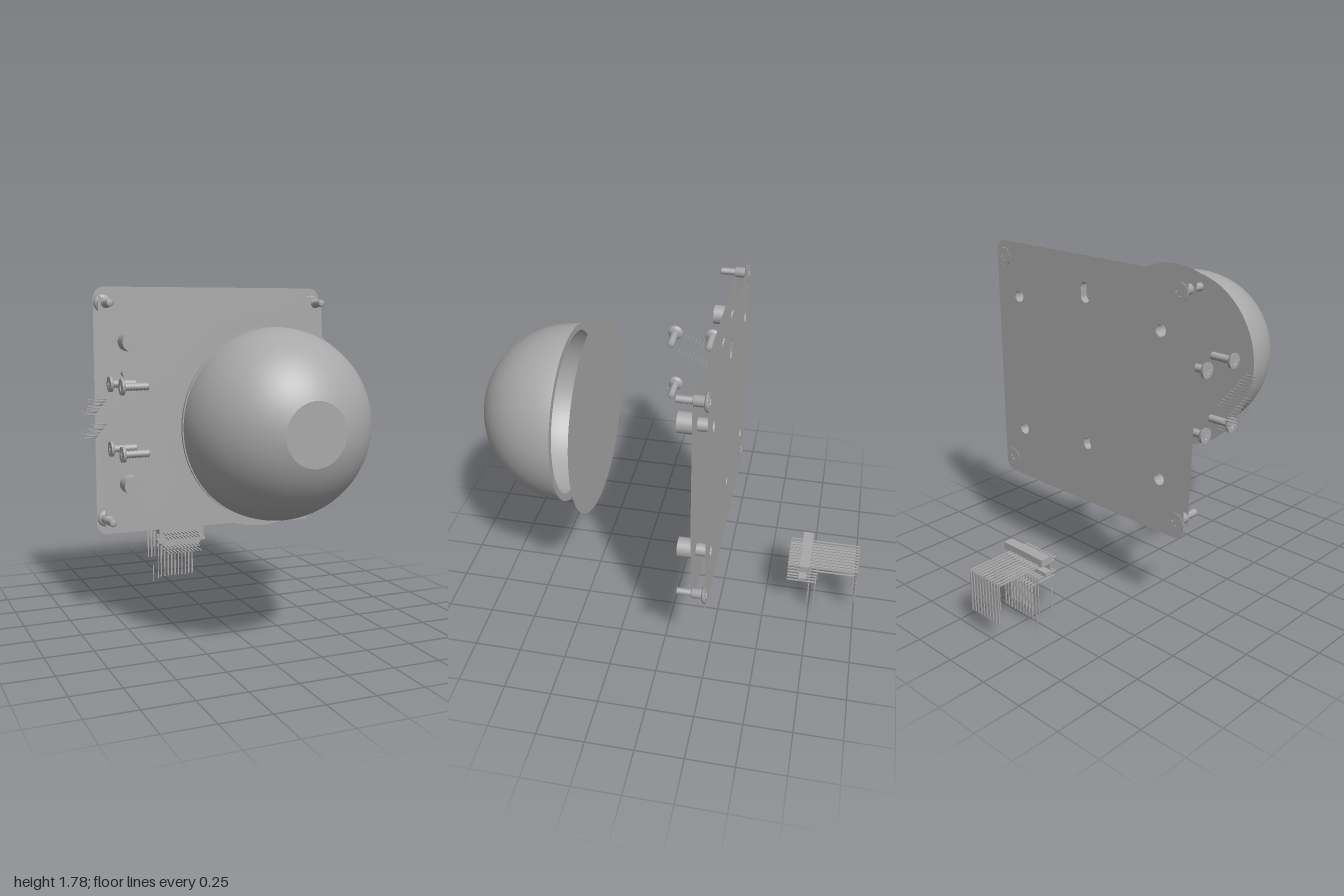
import * as THREE from 'three';

const CX = 0.07, CY = 1.125;

export function createModel() {
  const root = new THREE.Group();
  const grey = new THREE.MeshStandardMaterial({ color: 0xa8a8a8, side: THREE.DoubleSide });
  grey.name = 'plainGrey';

  const add = (name, geometry, x = 0, y = 0, z = 0, parent = root) => {
    const mesh = new THREE.Mesh(geometry, grey);
    mesh.name = name;
    mesh.position.set(x, y, z);
    parent.add(mesh);
    return mesh;
  };
  // Revolve a profile of [radius, z] around the z axis
  const turned = (profile, segments = 32) =>
    new THREE.LatheGeometry(profile.map(([r, z]) => new THREE.Vector2(r, z)), segments).rotateX(Math.PI / 2);
  const polygon = (pts) => new THREE.Shape(pts.map(([x, y]) => new THREE.Vector2(x, y)));
  const circle = (x, y, r) => new THREE.Path().absarc(x, y, r, 0, Math.PI * 2, true);
  const slotPath = (x, y, r, half) => {
    const p = new THREE.Path();
    p.absarc(x, y + half, r, 0, Math.PI, false);
    p.absarc(x, y - half, r, Math.PI, Math.PI * 2, false);
    p.closePath();
    return p;
  };

  const standoffs = [[-0.43, 1.5], [0.57, 1.5], [-0.43, 0.745], [0.57, 0.745]];
  const corners = [[-0.54, 1.7], [0.68, 1.7], [-0.54, 0.55], [0.68, 0.55]];
  const slots = [[CX, 1.6, 0.03, 0.022], [CX, 0.795, 0.027, 0.004]];

  // Rounded back sheet with its holes
  const [l, r, b, t, c] = [-0.59, 0.735, 0.46, 1.785, 0.06];
  const back = new THREE.Shape();
  back.absarc(r - c, t - c, c, 0, Math.PI / 2);
  back.absarc(l + c, t - c, c, Math.PI / 2, Math.PI);
  back.absarc(l + c, b + c, c, Math.PI, Math.PI * 1.5);
  back.absarc(r - c, b + c, c, Math.PI * 1.5, Math.PI * 2);
  back.closePath();
  standoffs.forEach(([x, y]) => back.holes.push(circle(x, y, 0.03)));
  corners.forEach(([x, y]) => back.holes.push(circle(x, y, 0.048)));
  slots.forEach((s) => back.holes.push(slotPath(...s)));
  add('backPlate', new THREE.ShapeGeometry(back, 16), 0, 0, -0.25);

  // Irregular front sheet
  add('frontPlate', new THREE.ShapeGeometry(polygon([
    [-0.58, 1.74], [-0.5, 1.69], [0.52, 1.69], [0.64, 1.74], [0.72, 1.72], [0.74, 1.12],
    [0.72, 0.56], [0.64, 0.46], [0.57, 0.46], [-0.3, 0.55], [-0.5, 0.56], [-0.56, 0.5], [-0.585, 1.1],
  ])), 0, 0, -0.18);

  // Slot walls behind the front sheet
  slots.forEach((s) => {
    const pts = slotPath(...s).getPoints(12);
    const pos = [], index = [];
    pts.forEach((p, i) => {
      pos.push(p.x, p.y, -0.25, p.x, p.y, -0.21);
      const j = ((i + 1) % pts.length) * 2;
      index.push(i * 2, j, i * 2 + 1, j, j + 1, i * 2 + 1);
    });
    const g = new THREE.BufferGeometry();
    g.setAttribute('position', new THREE.Float32BufferAttribute(pos, 3));
    g.setIndex(index);
    g.computeVertexNormals();
    add('slotWall', g);
  });
  add('innerStrip', new THREE.BoxGeometry(0.14, 0.27, 0.008), -0.155, 1.405, -0.222);

  // Standoffs: front boss and hole sleeve
  standoffs.forEach(([x, y]) => {
    add('standoffBoss', new THREE.CylinderGeometry(0.05, 0.05, 0.09, 32).rotateX(Math.PI / 2), x, y, -0.133);
    add('standoffSleeve', new THREE.CylinderGeometry(0.032, 0.032, 0.074, 24, 1, true).rotateX(Math.PI / 2), x, y, -0.215);
  });
  for (const y of [1.335, 0.915]) {
    add('peg', new THREE.CylinderGeometry(0.017, 0.017, 0.035, 20).rotateX(Math.PI / 2), -0.45, y, -0.157);
  }

  // Threaded rod profile between two z values
  const thread = (z0, z1, inner, outer, turns) => {
    const pts = [], step = (z1 - z0) / turns;
    for (let i = 0; i < turns; i++) pts.push([inner, z0 + i * step], [outer, z0 + (i + 0.5) * step]);
    return [...pts, [inner, z1], [0, z1]];
  };
  // Flat head with a cross recess, facing -z
  const crossHead = (name, radius, z, parent) => {
    const s = new THREE.Shape().absarc(0, 0, radius, 0, Math.PI * 2);
    const a = radius * 0.5, w = radius * 0.13;
    s.holes.push(new THREE.Path([[w, w], [w, a], [-w, a], [-w, w], [-a, w], [-a, -w], [-w, -w], [-w, -a],
      [w, -a], [w, -w], [a, -w], [a, w]].map(([x, y]) => new THREE.Vector2(x, y))));
    add(name, new THREE.ShapeGeometry(s, 16), 0, 0, z, parent);
    add('recessFloor', new THREE.CircleGeometry(radius * 0.55, 16), 0, 0, z + 0.01, parent);
  };

  // Corner screws
  corners.forEach(([x, y]) => {
    const screw = new THREE.Group();
    screw.name = 'cornerScrew';
    screw.position.set(x, y, 0);
    root.add(screw);
    crossHead('screwHead', 0.046, -0.251, screw);
    add('screwBody', turned([[0.046, -0.251], [0.046, -0.238], [0.036, -0.23], [0.026, -0.228],
      [0.026, -0.178], ...thread(-0.178, -0.1, 0.013, 0.02, 8)], 24), 0, 0, 0, screw);
  });

  // Side screws pointing along +x
  for (const y of [1.29, 0.955]) for (const z of [0.15, -0.06]) {
    const screw = new THREE.Group();
    screw.name = 'sideScrew';
    screw.position.set(-0.565, y, z);
    screw.rotation.y = Math.PI / 2;
    root.add(screw);
    crossHead('screwHead', 0.04, 0, screw);
    add('screwBody', turned([[0.04, 0], [0.04, 0.016], [0.02, 0.022],
      ...thread(0.022, 0.145, 0.015, 0.021, 9)], 20), 0, 0, 0, screw);
  }

  // Disc behind the dome
  add('disc', new THREE.CircleGeometry(0.518, 80), CX, CY, 0.44);

  // Dome with a rim; the cap is cut flat
  const dome = [], endAngle = Math.acos(0.15 / 0.46);
  for (let i = 0; i <= 28; i++) {
    const a = (endAngle * i) / 28;
    dome.push([0.46 * Math.cos(a), 0.565 + 0.46 * Math.sin(a)]);
  }
  add('dome', turned(dome, 80), CX, CY, 0);
  add('domeCap', new THREE.CircleGeometry(0.15, 64), CX, CY, 1.0);
  add('domeRimEdge', new THREE.CylinderGeometry(0.466, 0.466, 0.014, 80, 1, true).rotateX(Math.PI / 2), CX, CY, 0.558);
  for (const z of [0.551, 0.565]) add('domeRimFace', new THREE.RingGeometry(0.43, 0.466, 80), CX, CY, z);

  // Fine needles beside the plate
  for (let i = 0; i < 12; i++) for (let k = 0; k < 2; k++) {
    const length = 0.065 + 0.035 * ((i * 5 + k * 3) % 4) / 3;
    add('needle', new THREE.ConeGeometry(0.004, length, 4).rotateZ(Math.PI / 2),
      -0.637 - length / 2, (k ? 1.015 : 1.135) + i * 0.009, -0.07 + i * 0.02);
  }

  // Connector shell
  add('connectorFace', new THREE.ShapeGeometry(polygon([
    [-0.09, 0.36], [0.195, 0.36], [0.195, 0.29], [0.205, 0.285], [0.205, 0.265], [0.18, 0.265], [0.155, 0.225],
    [-0.045, 0.225], [-0.07, 0.265], [-0.1, 0.265], [-0.1, 0.285], [-0.09, 0.29],
  ])), 0, 0, -0.68);
  add('connectorBar', new THREE.BoxGeometry(0.285, 0.04, 0.055), 0.0525, 0.34, -0.708);
  add('connectorLedge', new THREE.BoxGeometry(0.305, 0.02, 0.04), 0.0525, 0.275, -0.7);
  add('connectorTab', new THREE.BoxGeometry(0.004, 0.14, 0.006), -0.098, 0.12, -0.685);

  // Rows of bent pins: [height, bend z, lower end]
  const rows = [[0.325, -0.995, 0.1], [0.302, -0.975, 0.17], [0.245, -0.74, 0.05], [0.215, -0.775, 0.03]];
  rows.forEach(([y, z, low], k) => {
    for (let i = 0; i < 10; i++) {
      const x = -0.06 + i * 0.0225 + (k % 2) * 0.011;
      add('pinArm', new THREE.BoxGeometry(0.008, 0.006, -0.615 - z), x, y, (z - 0.615) / 2);
      add('pinLeg', new THREE.BoxGeometry(0.008, y - low, 0.006), x, (y + low) / 2, z);
    }
  });
  add('loosePin', new THREE.BoxGeometry(0.006, 0.1, 0.004), -0.095, 0.05, -0.785);
  return root;
}
